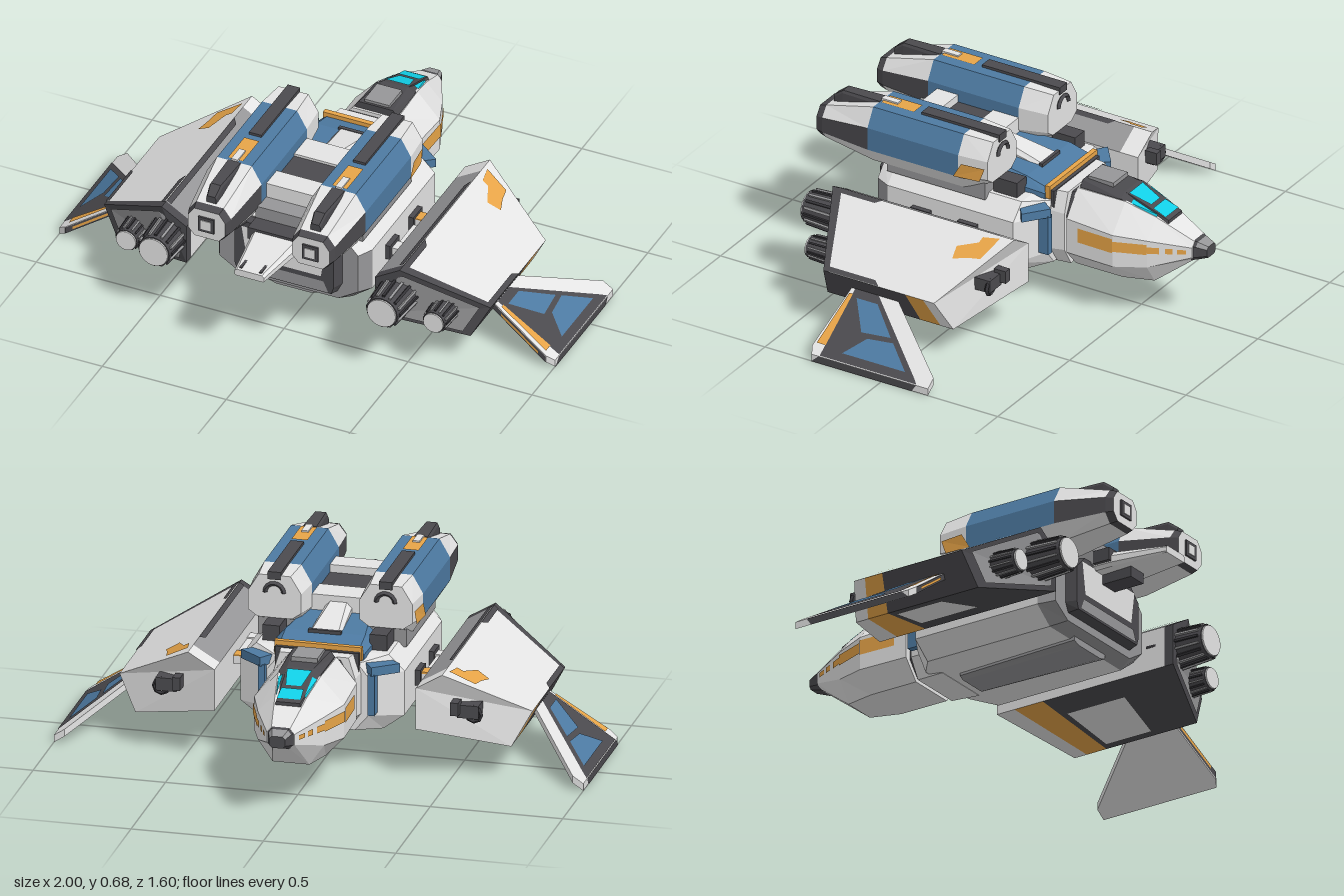
import * as THREE from 'three';

const mat = (name, color) => new THREE.MeshStandardMaterial({ name, color });
const V = (p) => new THREE.Vector3(...p);

export function createModel() {
  const light = mat('light grey', 0xe4e4e4), mid = mat('mid grey', 0x969698), dark = mat('dark grey', 0x4b4a4e);
  const blue = mat('blue', 0x4d7aa2), orange = mat('orange', 0xe8a548), cyan = mat('cyan glass', 0x12d2ea);
  const black = mat('near black', 0x353438);
  const model = new THREE.Group();
  model.name = 'spacecraft';

  // Adds a flat shaded part, and its mirror image when both is true
  function add(name, geo, material, both = false) {
    const g = geo.index ? geo.toNonIndexed() : geo;
    g.computeVertexNormals();
    const put = (gg, n) => {
      const m = new THREE.Mesh(gg, material);
      m.name = n;
      model.add(m);
    };
    put(g, both ? name + 'Left' : name);
    if (!both) return;
    const h = g.clone(), a = h.attributes.position, b = g.attributes.position;
    for (let i = 0; i < a.count; i += 3)
      [0, 2, 1].forEach((s, k) => a.setXYZ(i + k, -b.getX(i + s), b.getY(i + s), b.getZ(i + s)));
    h.computeVertexNormals();
    put(h, name + 'Right');
  }

  // Fan of triangles facing away from a centre point
  function fan(pts, centre, out) {
    const p = pts.map(V), n = new THREE.Vector3();
    for (let i = 1; i < p.length - 1; i++) n.add(p[i].clone().sub(p[0]).cross(p[i + 1].clone().sub(p[0])));
    if (n.dot(middle(pts).sub(centre)) < 0) { p.reverse(); n.negate(); }
    for (let i = 1; i < p.length - 1; i++) for (const q of [p[0], p[i], p[i + 1]]) out.push(q.x, q.y, q.z);
    return n.normalize();
  }
  const geoOf = (arr) => new THREE.BufferGeometry().setAttribute('position', new THREE.Float32BufferAttribute(arr, 3));
  const middle = (pts) => pts.reduce((s, q) => s.add(V(q)), new THREE.Vector3()).divideScalar(pts.length);

  // Solid through cross-sections; pick(segment, side) gives the colour, with segment -1 and -2 for the ends
  function solid(name, rings, pick, both = false) {
    const bins = new Map(), n = rings[0].length, c = middle(rings.flat());
    const bin = (m) => bins.get(m) || bins.set(m, []).get(m);
    const of = typeof pick === 'function' ? pick : () => pick;
    for (let s = 0; s < rings.length - 1; s++) {
      const cc = middle([...rings[s], ...rings[s + 1]]);
      for (let i = 0; i < n; i++) {
        const j = (i + 1) % n;
        fan([rings[s][i], rings[s][j], rings[s + 1][j], rings[s + 1][i]], cc, bin(of(s, i)));
      }
    }
    fan(rings[0], c, bin(of(-1, 0)));
    fan(rings[rings.length - 1], c, bin(of(-2, 0)));
    const geo = geoOf([...bins.values()].flat());
    let start = 0, k = 0;
    for (const a of bins.values()) { geo.addGroup(start, a.length / 3, k++); start += a.length / 3; }
    add(name, geo, [...bins.keys()], both);
  }

  // Thin painted face lifted off the surface below it
  function paint(name, pts, material, centre, both = false, lift = 0.004) {
    const out = [], n = fan(pts, V(centre), out);
    add(name, geoOf(out).translate(n.x * lift, n.y * lift, n.z * lift), material, both);
  }
  const box = (name, x0, x1, y0, y1, z0, z1, m, both = false) => add(name,
    new THREE.BoxGeometry(x1 - x0, y1 - y0, z1 - z0).translate((x0 + x1) / 2, (y0 + y1) / 2, (z0 + z1) / 2), m, both);

  // Eight sided section; sides: 0 bottom, 1-3 left flank upwards, 4 top, 5-7 right flank downwards
  const oct = (z, w, yb, yl, yh, yt, wb, wt, cx = 0) => [
    [-wb, yb], [wb, yb], [w, yl], [w, yh], [wt, yt], [-wt, yt], [-w, yh], [-w, yl]].map(([x, y]) => [x + cx, y, z]);

  // Cockpit
  solid('cockpit', [
    oct(-0.28, 0.165, 0.155, 0.23, 0.37, 0.465, 0.1, 0.09), oct(-0.48, 0.17, 0.155, 0.23, 0.36, 0.46, 0.1, 0.08),
    oct(-0.6, 0.125, 0.16, 0.24, 0.35, 0.42, 0.07, 0.06), oct(-0.75, 0.052, 0.275, 0.29, 0.33, 0.35, 0.03, 0.035)], light);
  solid('noseTip', [oct(-0.735, 0.055, 0.268, 0.285, 0.335, 0.355, 0.035, 0.035), oct(-0.76, 0.043, 0.276, 0.29, 0.332, 0.348, 0.03, 0.03),
    oct(-0.8, 0.03, 0.29, 0.3, 0.325, 0.335, 0.02, 0.02)], (s, i) => s === 1 && i > 2 && i < 6 ? mid : dark);
  solid('canopy', [oct(-0.29, 0.085, 0.42, 0.44, 0.47, 0.492, 0.08, 0.07), oct(-0.46, 0.08, 0.42, 0.44, 0.465, 0.482, 0.08, 0.05),
    oct(-0.645, 0.05, 0.38, 0.385, 0.395, 0.412, 0.05, 0.045)], dark);
  const cy = (z) => 0.482 + (z + 0.46) * 0.378;
  const C = [0, 0.3, -0.4];
  for (const [n, z0, z1, w0, w1] of [['frontWindow', -0.63, -0.575, 0.045, 0.042], ['topWindow', -0.56, -0.475, 0.03, 0.047]])
    paint(n, [[-w0, cy(z0), z0], [w0, cy(z0), z0], [w1, cy(z1), z1], [-w1, cy(z1), z1]], cyan, C);
  paint('sideWindow', [[0.053, cy(-0.5) - 0.004, -0.5], [0.05, cy(-0.6) - 0.004, -0.6], [0.055, cy(-0.6) - 0.016, -0.6], [0.07, cy(-0.5) - 0.014, -0.5]], cyan, C, true);
  box('canopyHatch', -0.05, 0.05, 0.47, 0.502, -0.41, -0.3, mid);

  // Cockpit stripes
  const wAt = (z) => z > -0.48 ? 0.17 + (z + 0.48) * -0.025 : z > -0.6 ? 0.17 + (z + 0.48) * 0.375 : 0.125 + (z + 0.6) * 0.487;
  for (const [z0, z1, a, b] of [[-0.33, -0.48, 0.288, 0.346], [-0.48, -0.6, 0.294, 0.336], [-0.6, -0.64, 0.3, 0.326], [-0.66, -0.685, 0.302, 0.324], [-0.7, -0.73, 0.304, 0.322]])
    paint('cockpitStripe', [[wAt(z0), a, z0], [wAt(z1), a, z1], [wAt(z1), b, z1], [wAt(z0), b, z0]], orange, C, true);

  // Neck and main hull
  solid('neck', [oct(-0.285, 0.14, 0.17, 0.23, 0.37, 0.45, 0.09, 0.1), oct(-0.265, 0.14, 0.17, 0.23, 0.37, 0.45, 0.09, 0.1)], dark);
  solid('collar', [oct(-0.265, 0.155, 0.155, 0.23, 0.38, 0.46, 0.11, 0.13), oct(-0.15, 0.17, 0.15, 0.22, 0.39, 0.46, 0.12, 0.15)], light);
  box('collarBand', -0.165, 0.165, 0.43, 0.482, -0.208, -0.188, orange);
  box('collarSeam', -0.158, 0.158, 0.36, 0.464, -0.222, -0.208, dark);
  solid('hull', [oct(-0.21, 0.19, 0.16, 0.22, 0.37, 0.42, 0.14, 0.15), oct(-0.14, 0.31, 0.15, 0.21, 0.38, 0.44, 0.23, 0.25),
    oct(0.4, 0.31, 0.15, 0.21, 0.38, 0.44, 0.23, 0.25), oct(0.46, 0.28, 0.17, 0.22, 0.38, 0.435, 0.2, 0.23)],
  (s, i) => s === -2 || (s === 2 && (i < 3 || i > 5)) ? mid : light);
  solid('frontShelf', [0.385, 0.42].map((y) => [[0.16, y, -0.17], [0.21, y, -0.24], [0.3, y, -0.17], [0.25, y, -0.13]]), blue, true);
  box('frontVane', 0.195, 0.22, 0.23, 0.39, -0.235, -0.16, blue, true);
  solid('belly', [oct(-0.1, 0.08, 0.13, 0.14, 0.15, 0.17, 0.06, 0.08), oct(0.42, 0.1, 0.13, 0.14, 0.15, 0.17, 0.07, 0.1)], mid);

  // Hull rear
  solid('rearFrame', [oct(0.45, 0.22, 0.2, 0.24, 0.38, 0.43, 0.2, 0.18), oct(0.5, 0.2, 0.21, 0.24, 0.38, 0.43, 0.19, 0.15)], dark);
  const H = [0, 0.3, 0.2];
  paint('rearPanel', [[-0.15, 0.28, 0.5], [0.15, 0.28, 0.5], [0.17, 0.41, 0.5], [-0.17, 0.41, 0.5]], light, H);
  paint('rearSill', [[-0.18, 0.215, 0.5], [0.18, 0.215, 0.5], [0.16, 0.26, 0.5], [-0.16, 0.26, 0.5]], mid, H);
  box('rearLatch', -0.04, 0.04, 0.365, 0.415, 0.48, 0.63, dark);
  solid('tail', [oct(0.42, 0.1, 0.4, 0.415, 0.44, 0.47, 0.09, 0.09), oct(0.58, 0.095, 0.405, 0.415, 0.44, 0.46, 0.08, 0.08),
    oct(0.8, 0.06, 0.412, 0.416, 0.432, 0.44, 0.055, 0.05)], light);
  box('tailMark', 0.035, 0.045, 0.435, 0.446, 0.74, 0.79, dark, true);

  // Spine between the pods
  solid('shoulder', [oct(-0.19, 0.17, 0.42, 0.43, 0.45, 0.465, 0.16, 0.15), oct(-0.1, 0.18, 0.42, 0.43, 0.46, 0.49, 0.17, 0.15),
    oct(0.1, 0.15, 0.42, 0.43, 0.47, 0.5, 0.14, 0.12)], blue);
  box('shoulderEdge', 0.17, 0.235, 0.43, 0.5, -0.11, -0.01, dark, true);
  solid('intake', [oct(-0.1, 0.06, 0.46, 0.47, 0.485, 0.497, 0.055, 0.05), oct(0.1, 0.05, 0.46, 0.48, 0.52, 0.54, 0.04, 0.03)], light);
  box('intakeLip', -0.062, 0.062, 0.47, 0.5, -0.112, -0.098, dark);
  for (const [z0, z1, y, m] of [[0.09, 0.2, 0.56, light], [0.2, 0.35, 0.55, dark], [0.35, 0.44, 0.58, light], [0.44, 0.51, 0.52, mid], [0.5, 0.58, 0.47, dark]])
    box('spine', -0.11, 0.11, 0.42, y, z0, z1, m);

  // Upper pods
  const pod = (z, w, yb, yl, yh, yt, wt) => oct(z, w, yb, yl, yh, yt, w * 0.65, wt, 0.21);
  solid('pod', [pod(-0.03, 0.1, 0.5, 0.525, 0.6, 0.665, 0.06), pod(0.09, 0.11, 0.45, 0.51, 0.6, 0.67, 0.07),
    pod(0.48, 0.11, 0.45, 0.51, 0.6, 0.67, 0.07), pod(0.69, 0.085, 0.475, 0.51, 0.57, 0.61, 0.055), pod(0.72, 0.075, 0.48, 0.51, 0.565, 0.6, 0.05)],
  (s, i) => s === 1 ? (i >= 2 && i <= 6 ? blue : light) : s === 2 ? (i === 2 || i === 6 ? dark : light) : s === 3 ? dark : light, true);
  box('podMount', 0.14, 0.28, 0.42, 0.5, 0, 0.42, mid, true);
  const P = [0.21, 0.55, 0.3];
  paint('podFlash', [[0.314, 0.515, 0], [0.32, 0.51, 0.11], [0.32, 0.57, 0.075], [0.311, 0.57, -0.02]], orange, P, true, 0.005);
  box('podRail', 0.185, 0.235, 0.65, 0.68, -0.035, 0.3, dark, true);
  paint('podTopMark', [[0.18, 0.67, 0.33], [0.24, 0.67, 0.33], [0.24, 0.67, 0.47], [0.18, 0.67, 0.47]], orange, P, true);
  box('podTopLatch', 0.197, 0.223, 0.665, 0.68, 0.41, 0.48, light, true);
  solid('podCrest', [oct(0.48, 0.03, 0.6, 0.62, 0.66, 0.672, 0.03, 0.025, 0.21), oct(0.64, 0.025, 0.58, 0.6, 0.66, 0.67, 0.025, 0.02, 0.21),
    oct(0.68, 0.02, 0.58, 0.59, 0.63, 0.64, 0.02, 0.015, 0.21)], dark, true);
  box('podNozzle', 0.178, 0.242, 0.51, 0.572, 0.7, 0.727, dark, true);
  box('podNozzleCore', 0.19, 0.23, 0.522, 0.56, 0.715, 0.73, light, true);
  add('podHook', new THREE.TorusGeometry(0.035, 0.009, 4, 8, Math.PI).translate(0.21, 0.6, -0.035), dark, true);

  // Wing struts
  for (const z of [0.05, 0.25]) {
    box('strut', 0.28, 0.4, 0.285, 0.315, z - 0.025, z + 0.025, light, true);
    box('strutJoint', 0.3, 0.33, 0.27, 0.33, z - 0.04, z + 0.04, dark, true);
  }
  box('strutCover', 0.33, 0.385, 0.312, 0.319, 0.025, 0.075, orange, true);
  box('strutPlate', 0.335, 0.385, 0.29, 0.31, 0.1, 0.27, light, true);

  // Wings: points are x, y, front z, rear z
  const prof = [[0.38, 0.2, -0.25, 0.53], [0.71, 0.12, -0.13, 0.41], [0.78, 0.25, -0.09, 0.385], [0.48, 0.42, -0.25, 0.53], [0.38, 0.36, -0.25, 0.53]];
  const at = (i, v) => [prof[i][0], prof[i][1], prof[i][2] + (prof[i][3] - prof[i][2]) * v];
  solid('wing', [0, 0.1, 0.26, 0.95, 1].map((v) => prof.map((_, i) => at(i, v))),
    (s, i) => s === -2 || s === 3 ? dark : i < 2 && s === 1 ? orange : i < 2 && s === 2 ? dark : i === 3 && s > 0 ? mid : light, true);
  const W = [0.56, 0.27, 0.1];
  const on = (i, j, uv) => uv.map(([u, v]) => at(i, v).map((a, k) => a + (at(j, v)[k] - a) * u));
  paint('wingFlash', on(3, 2, [[0.04, 0.06], [0.34, 0.04], [0.37, 0.11], [0.08, 0.14]]), orange, W, true);
  paint('wingFlashTail', on(3, 2, [[0.15, 0.13], [0.37, 0.11], [0.43, 0.18], [0.27, 0.22]]), orange, W, true);
  paint('wingTipEdge', on(3, 2, [[0.94, 0.55], [1, 0.5], [1, 0.96], [0.94, 0.96]]), dark, W, true);
  paint('wingRootEdge', on(3, 2, [[0, 0.72], [0.06, 0.76], [0.06, 0.96], [0, 0.96]]), dark, W, true);
  paint('wingRidge', on(3, 4, [[0, 0.2], [0.18, 0.23], [0.18, 0.95], [0, 0.95]]), dark, W, true);
  paint('wingUnderPanel', on(0, 1, [[0.28, 0.3], [0.92, 0.3], [0.92, 0.66], [0.28, 0.66]]), light, W, true);
  const rc = middle(prof.map((_, i) => at(i, 1))).toArray();
  paint('wingRearPanel', prof.map((_, i) => at(i, 1).map((a, k) => rc[k] + (a - rc[k]) * 0.84)), mid, W, true, 0.006);

  // Wing guns
  box('gunMount', 0.53, 0.61, 0.25, 0.3, -0.225, -0.16, dark, true);
  box('gunBarrel', 0.51, 0.54, 0.265, 0.315, -0.25, -0.2, dark, true);
  add('gunRing', new THREE.TorusGeometry(0.028, 0.008, 4, 8).translate(0.59, 0.265, -0.215), black, true);

  // Fluted engines
  for (const [x, y, r, z0, z1] of [[0.46, 0.295, 0.068, 0.4, 0.64], [0.62, 0.233, 0.047, 0.34, 0.535]]) {
    const len = z1 - z0, zc = (z0 + z1) / 2;
    add('engine', new THREE.CylinderGeometry(r * 0.92, r * 1.12, len, 16).rotateX(Math.PI / 2).translate(x, y, zc), dark, true);
    add('engineCore', new THREE.CylinderGeometry(r * 0.85, r * 0.85, 0.008, 20).rotateX(Math.PI / 2).translate(x, y, z1 + 0.002), light, true);
    for (let i = 0; i < 16; i++) add('engineRib', new THREE.BoxGeometry(r * 0.14, r * 0.2, len * 0.9)
      .rotateX(r * 0.2 / len).translate(0, r * 1.02, 0).rotateZ(i * Math.PI / 8).translate(x, y, zc), i % 2 ? mid : black, true);
  }

  // Drooping fins, given in plan as x, z
  const fy = (x) => 0.175 - 0.66 * (x - 0.735);
  const plan = [[0.735, 0.1], [0.96, -0.2], [1, -0.2], [1, 0.3], [0.97, 0.315], [0.735, 0.28]];
  solid('fin', [0, 0.028].map((d) => plan.map(([x, z]) => [x, fy(x) + d, z])), light, true);
  const fin = (name, pts, m, lift) => paint(name, pts.map(([x, z]) => [x, fy(x) + 0.028, z]), m, [0.85, -0.5, 0.1], true, lift);
  fin('finDark', [[0.998, -0.15], [0.98, -0.13], [0.75, 0.165], [0.75, 0.265], [0.998, 0.265]], dark, 0.003);
  fin('finBlueOuter', [[0.97, -0.085], [0.89, 0.015], [0.9, 0.12], [0.97, 0.185]], blue, 0.006);
  fin('finBlueInner', [[0.875, 0.035], [0.78, 0.15], [0.78, 0.24], [0.885, 0.155]], blue, 0.006);
  fin('finOrange', [[0.77, 0.262], [0.96, 0.262], [0.96, 0.3], [0.77, 0.277]], orange, 0.006);
  const F = [0.85, 0.1, 0];
  const edge = (x0, x1, a, b) => [[x0, a], [x1, a], [x1, b], [x0, b]].map(([x, h]) => [x, fy(x) + h, 0.28 + (x - 0.735) * 0.149]);
  paint('finRearEdge', edge(0.74, 0.97, 0.001, 0.027), dark, F, true, 0.003);
  paint('finRearStripe', edge(0.78, 0.94, 0.009, 0.02), orange, F, true, 0.006);
  paint('finTipEdge', [[1, 0, -0.13], [1, 0, 0.3], [1, 0.028, 0.27], [1, 0.028, -0.15]], dark, F, true, 0.002);
  return model;
}
